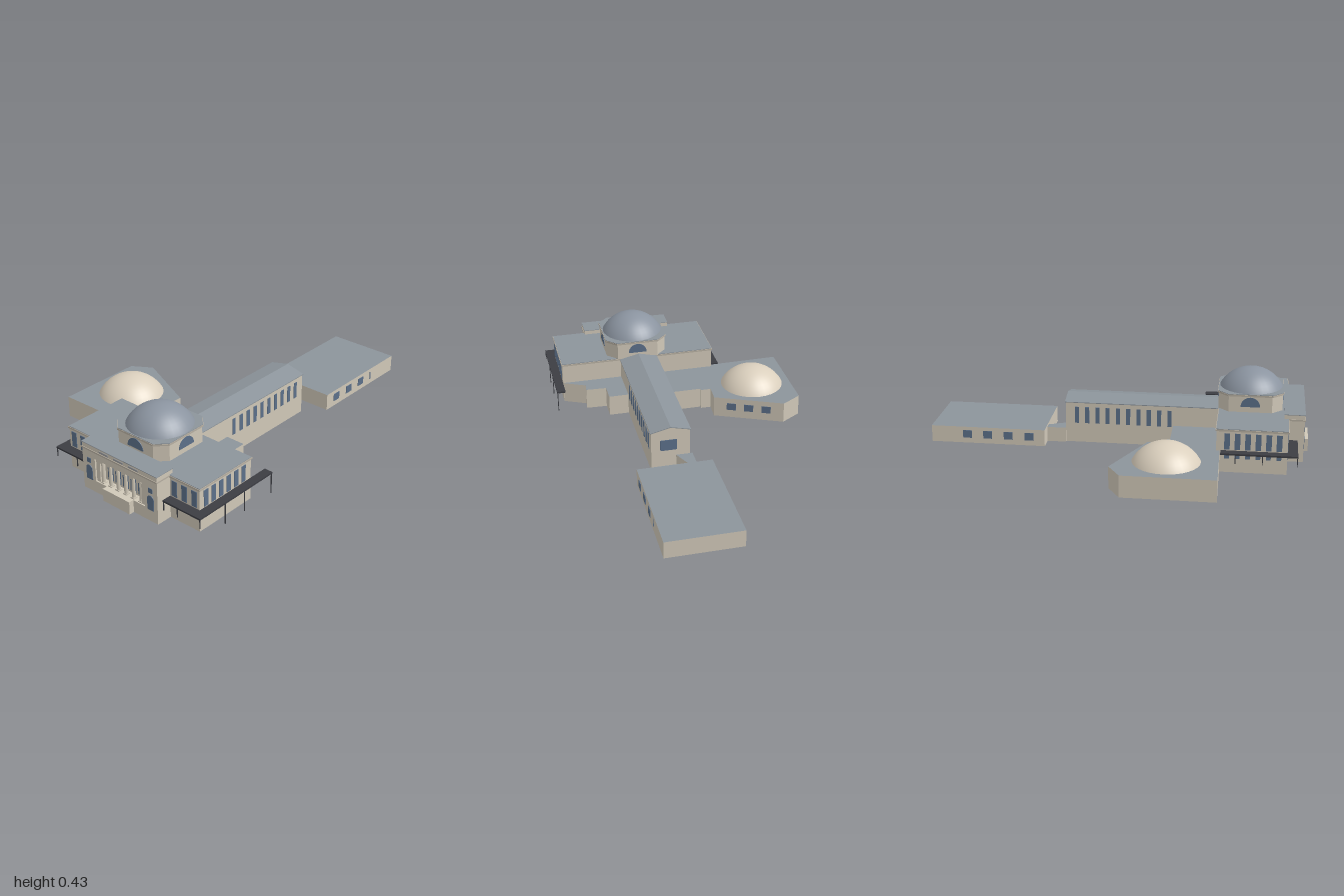
import * as THREE from 'three';

const mat = (name, color, side = THREE.FrontSide) => {
  const m = new THREE.MeshStandardMaterial({ color, side });
  m.name = name;
  return m;
};

export function createModel() {
  const root = new THREE.Group();
  root.name = 'domedMuseum';
  const wall = mat('limestone', 0xd0c8b8, THREE.DoubleSide);
  const roof = mat('slateRoof', 0x8c949b, THREE.DoubleSide);
  const domeMat = mat('domeMetal', 0x8b94a0);
  const glass = mat('windowGlass', 0x5c708a);
  const dark = mat('canopyMetal', 0x3c3d43);
  const cream = mat('creamDome', 0xdacfbd);
  const trim = mat('corniceStone', 0xb8b0a2);
  const panelMat = mat('atticPanel', 0x9b9c9f);

  const add = (name, geo, m, x = 0, y = 0, z = 0, ry = 0) => {
    const o = new THREE.Mesh(geo, m);
    o.name = name;
    o.position.set(x, y, z);
    o.rotation.y = ry;
    root.add(o);
    return o;
  };
  // box given by its extents
  const block = (name, m, x0, x1, y0, y1, z0, z1) =>
    add(name, new THREE.BoxGeometry(x1 - x0, y1 - y0, z1 - z0), m, (x0 + x1) / 2, (y0 + y1) / 2, (z0 + z1) / 2);
  // thin pane standing on a wall, turned by ry
  const pane = (x, y, z, w, h, ry = 0, m = glass, name = 'window') =>
    add(name, new THREE.BoxGeometry(w, h, 0.006), m, x, y, z, ry);
  // pane with a round head; rise is the straight part below the arc
  const archPane = (x, y, z, r, rise, ry = 0) => {
    const s = new THREE.Shape();
    s.moveTo(-r, 0);
    s.lineTo(r, 0);
    s.lineTo(r, rise);
    s.absarc(0, rise, r, 0, Math.PI, false);
    add('archedWindow', new THREE.ExtrudeGeometry(s, { depth: 0.004, bevelEnabled: false, curveSegments: 12 }), glass, x, y, z, ry);
  };
  const plan = (pts) => new THREE.Shape(pts.map(([x, z]) => new THREE.Vector2(x, -z)));
  const prism = (name, m, pts, y0, y1) => add(name,
    new THREE.ExtrudeGeometry(plan(pts), { depth: y1 - y0, bevelEnabled: false }).rotateX(-Math.PI / 2), m, 0, y0, 0);
  // low building, open underneath: outer walls and a flat roof
  const shell = (name, pts, h) => {
    add(name + 'Roof', new THREE.ShapeGeometry(plan(pts)).rotateX(-Math.PI / 2), roof, 0, h, 0);
    pts.forEach(([x, z], i) => {
      const [x2, z2] = pts[(i + 1) % pts.length];
      const dx = x2 - x, dz = z2 - z;
      add(name + 'Wall', new THREE.PlaneGeometry(Math.hypot(dx, dz), h), wall,
        (x + x2) / 2, h / 2, (z + z2) / 2, Math.atan2(-dz, dx));
    });
  };
  const dome = (name, m, x, y, z, r, h) => {
    const R = (r * r + h * h) / (2 * h);
    add(name, new THREE.SphereGeometry(R, 32, 10, 0, Math.PI * 2, 0, Math.acos((R - h) / R)), m, x, y + h - R, z);
  };

  // main block with cornice and flat roof
  block('mainBlock', wall, -0.258, 0.592, 0, 0.22, 0.532, 0.888);
  block('mainCornice', trim, -0.263, 0.597, 0.219, 0.228, 0.527, 0.893);
  block('mainRoof', roof, -0.26, 0.594, 0.228, 0.231, 0.53, 0.89);
  for (const c of [-0.165, 0.5]) {
    for (const d of [-0.061, 0, 0.061]) {
      pane(c + d, 0.165, 0.888, 0.032, 0.082);
      pane(c + d, 0.09, 0.888, 0.026, 0.034);
    }
  }
  for (const x of [-0.258, 0.592]) {
    for (let i = 0; i < 6; i++) {
      const z = 0.846 - i * 0.052;
      pane(x, 0.165, z, 0.028, 0.086, Math.PI / 2);
      pane(x, 0.09, z, 0.024, 0.032, Math.PI / 2);
    }
  }

  // portico: back body, front wall with opening, attic
  const cx = 0.167;
  block('porticoBody', wall, -0.077, 0.411, 0, 0.225, 0.866, 0.93);
  const front = new THREE.Shape();
  front.moveTo(-0.077, 0).lineTo(0.411, 0).lineTo(0.411, 0.225).lineTo(-0.077, 0.225);
  const hole = new THREE.Path();
  hole.moveTo(0.005, 0.065).lineTo(0.005, 0.187).lineTo(0.33, 0.187).lineTo(0.33, 0.065);
  front.holes.push(hole);
  add('porticoFront', new THREE.ExtrudeGeometry(front, { depth: 0.042, bevelEnabled: false }), wall, 0, 0, 0.93);
  block('porticoCornice', trim, -0.08, 0.414, 0.222, 0.23, 0.866, 0.976);
  block('attic', wall, -0.077, 0.411, 0.23, 0.253, 0.868, 0.973);
  block('atticRoof', roof, -0.079, 0.413, 0.253, 0.256, 0.866, 0.975);
  for (const d of [-0.096, 0, 0.096]) pane(cx + d, 0.24, 0.973, 0.06, 0.01, 0, panelMat, 'atticPanel');
  block('frontSteps', wall, 0.08, 0.255, 0, 0.067, 0.97, 1);
  for (const s of [-1, 1]) {
    archPane(cx + s * 0.201, 0.062, 0.971, 0.02, 0.058);
    pane(cx + s * 0.201, 0.167, 0.972, 0.025, 0.024);
    block('pilaster', wall, cx + s * 0.148 - 0.012, cx + s * 0.148 + 0.012, 0.065, 0.187, 0.93, 0.965);
  }
  for (let i = -2; i <= 2; i++) pane(cx + i * 0.05, 0.127, 0.93, 0.036, 0.1);
  for (let i = 0; i < 6; i++) {
    const x = cx + (i - 2.5) * 0.05;
    add('column', new THREE.CylinderGeometry(0.0085, 0.01, 0.11, 12), wall, x, 0.12, 0.955);
    block('columnCapital', wall, x - 0.014, x + 0.014, 0.175, 0.187, 0.942, 0.97);
    block('columnBase', wall, x - 0.012, x + 0.012, 0.065, 0.071, 0.943, 0.967);
  }

  // octagonal drum and main dome
  const cz = 0.692;
  const octagon = (a, b) => [[a, b], [b, a], [-b, a], [-a, b], [-a, -b], [-b, -a], [b, -a], [a, -b]]
    .map(([x, z]) => [cx + x, cz + z]);
  prism('drum', wall, octagon(0.166, 0.112), 0.228, 0.318);
  prism('drumCornice', trim, octagon(0.171, 0.116), 0.316, 0.325);
  prism('drumRoof', roof, octagon(0.169, 0.115), 0.325, 0.328);
  dome('mainDome', domeMat, cx, 0.327, cz, 0.165, 0.098);
  for (let i = 0; i < 4; i++) {
    const a = i * Math.PI / 2;
    archPane(cx + Math.sin(a) * 0.165, 0.26, cz + Math.cos(a) * 0.165, 0.05, 0.001, a);
  }

  // long rear wing with a shallow gable
  const gable = new THREE.Shape();
  gable.moveTo(0.062, 0).lineTo(0.264, 0).lineTo(0.264, 0.222).lineTo(0.163, 0.246).lineTo(0.062, 0.222);
  add('rearWing', new THREE.ExtrudeGeometry(gable, { depth: 0.83, bevelEnabled: false }), wall, 0, 0, -0.285);
  const cap = new THREE.Shape();
  cap.moveTo(0.058, 0.221).lineTo(0.163, 0.246).lineTo(0.268, 0.221).lineTo(0.268, 0.225).lineTo(0.163, 0.25).lineTo(0.058, 0.225);
  add('rearWingRoof', new THREE.ExtrudeGeometry(cap, { depth: 0.83, bevelEnabled: false }), roof, 0, 0, -0.289);
  for (const x of [0.062, 0.264]) {
    for (let i = 0; i < 10; i++) pane(x, 0.153, 0.27 - i * 0.055, 0.022, 0.09, Math.PI / 2);
  }
  pane(0.175, 0.145, -0.285, 0.085, 0.06);

  // link and rear annex
  shell('link', [[0.05, -0.285], [0.135, -0.285], [0.09, -0.386], [0.05, -0.386]], 0.08);
  shell('rearAnnex', [[-0.03, -0.386], [0.36, -0.386], [0.36, -1], [-0.03, -1]], 0.09);
  for (const x of [-0.03, 0.36]) {
    for (const z of [-0.47, -0.583, -0.695]) pane(x, 0.05, z, 0.048, 0.042, Math.PI / 2);
  }
  pane(-0.03, 0.05, -0.805, 0.048, 0.042, Math.PI / 2);
  pane(0.36, 0.05, -0.787, 0.006, 0.042, Math.PI / 2);

  // low side wing with the small dome
  shell('sideWing', [[-0.64, 0.558], [-0.255, 0.55], [0.585, 0.535], [0.59, 0.53], [0.475, 0.475], [0.48, 0.425],
    [0.37, 0.42], [0.37, 0.32], [0.26, 0.32], [0.07, 0.29], [-0.135, 0.29], [-0.135, 0.275], [-0.19, 0.275],
    [-0.185, 0.18], [-0.535, 0.025], [-0.64, 0.09]], 0.114);
  dome('smallDome', cream, -0.43, 0.113, 0.297, 0.171, 0.1);
  for (const t of [0.25, 0.5, 0.75]) {
    pane(-0.535 + 0.35 * t, 0.065, 0.025 + 0.155 * t, 0.05, 0.04, -Math.atan2(0.155, 0.35));
  }

  // canopies wrapping both front corners
  block('leftCanopyFront', dark, 0.412, 0.64, 0.109, 0.118, 0.89, 0.94);
  block('leftCanopySide', dark, 0.594, 0.64, 0.109, 0.118, 0.43, 0.89);
  block('rightCanopyFront', dark, -0.305, -0.078, 0.109, 0.118, 0.89, 0.94);
  block('rightCanopySide', dark, -0.305, -0.26, 0.109, 0.118, 0.555, 0.89);
  const post = (x, z, y0) => block('canopyPost', dark, x - 0.002, x + 0.002, y0, 0.11, z - 0.002, z + 0.002);
  for (const x of [-0.302, -0.16, -0.081, 0.415, 0.5]) post(x, 0.937, 0.063);
  for (const z of [0.765, 0.63, 0.433]) post(0.637, z, 0);
  post(0.637, 0.937, 0.063);
  for (const z of [0.765, 0.63]) post(-0.302, z, 0.063);

  return root;
}
